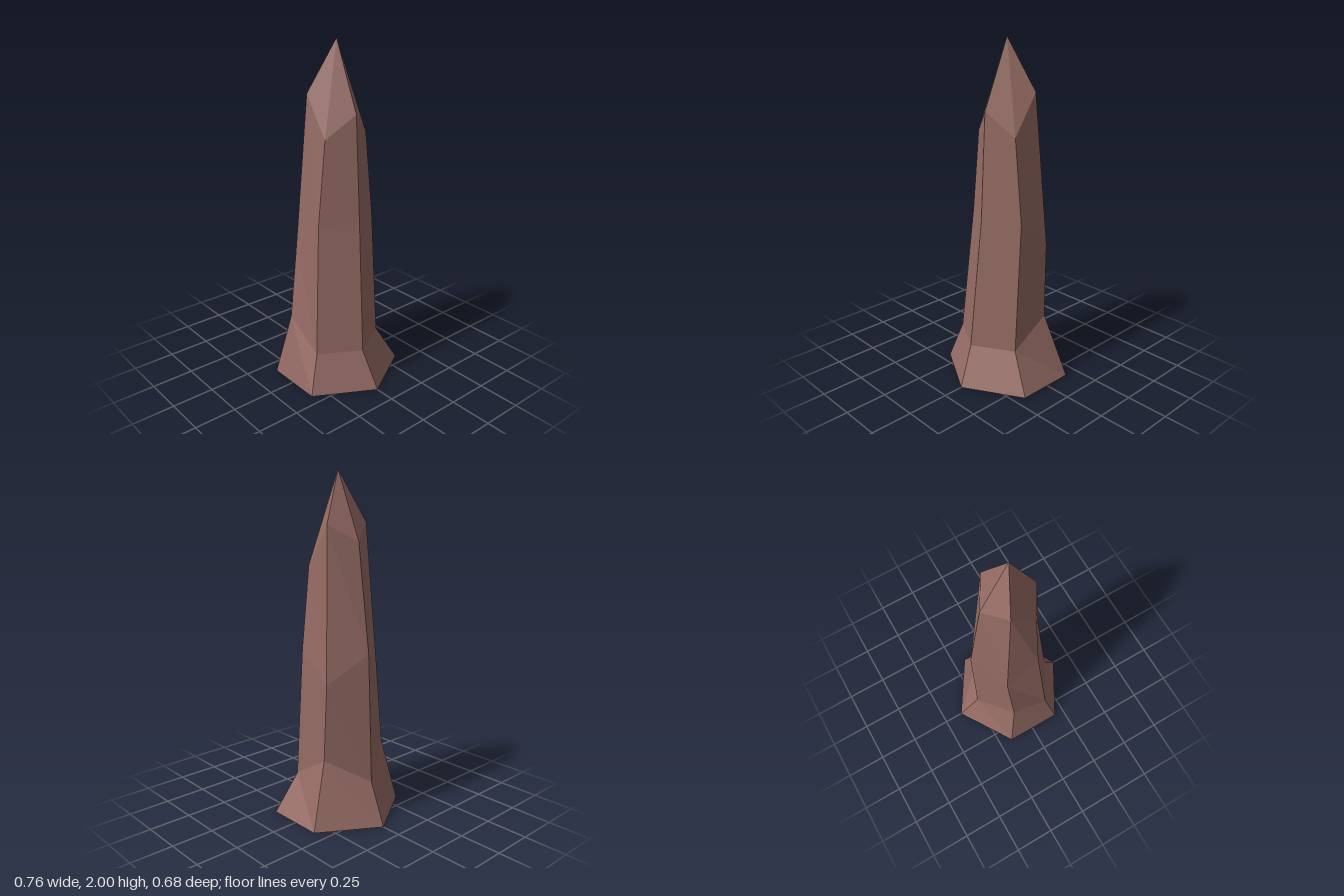
import * as THREE from 'three';

// One six-sided ring: right, front right, front left, left; the back corners mirror the front.
function ring(right, frontRight, frontLeft, left) {
  const back = ([x, y, z]) => [x, y, -z];
  return { right, frontRight, frontLeft, left, back };
}

// Corners in order from +x through +z; backShift moves the mirrored corners along z.
function corners(r, backShift = 0) {
  const mirror = (p) => {
    const q = r.back(p);
    return [q[0], q[1], q[2] + backShift];
  };
  return [r.right, r.frontRight, r.frontLeft, r.left, mirror(r.frontLeft), mirror(r.frontRight)];
}

// Faceted surface between successive rings.
function loft(rings) {
  const pos = [];
  for (let k = 0; k < rings.length - 1; k++) {
    const lower = rings[k], upper = rings[k + 1];
    for (let i = 0; i < 6; i++) {
      const j = (i + 1) % 6;
      pos.push(...lower[j], ...lower[i], ...upper[j]);
      if (upper[i] !== upper[j]) pos.push(...lower[i], ...upper[i], ...upper[j]);
    }
  }
  const geo = new THREE.BufferGeometry();
  geo.setAttribute('position', new THREE.Float32BufferAttribute(pos, 3));
  geo.computeVertexNormals();
  return geo;
}

export function createModel() {
  const group = new THREE.Group();
  group.name = 'stoneSpire';

  const stone = new THREE.MeshStandardMaterial({ color: 0x956b64, flatShading: true, side: THREE.DoubleSide });
  stone.name = 'reddish brown stone';

  const foot = corners(ring([0.38, 0, 0], [0.185, 0, 0.34], [-0.167, 0, 0.34], [-0.383, 0, 0]));
  const collar = corners(
    ring([0.275, 0.23, 0.027], [0.138, 0.23, 0.263], [-0.106, 0.38, 0.263], [-0.255, 0.23, 0.027]), 0.055);
  const waist = corners(ring([0.203, 1, 0], [0.086, 1, 0.2], [-0.121, 0.83, 0.2], [-0.249, 1, 0]));
  const shoulder = corners(ring([0.167, 1.615, 0], [0.083, 1.48, 0.148], [-0.071, 1.71, 0.148], [-0.164, 1.615, 0]));
  const tip = new Array(6).fill([0.003, 2, 0]);

  // Flared base (open underneath), shaft and pointed cap
  const parts = { flaredBase: [foot, collar], shaft: [collar, waist, shoulder], pointedCap: [shoulder, tip] };
  for (const [name, rings] of Object.entries(parts)) {
    const mesh = new THREE.Mesh(loft(rings), stone);
    mesh.name = name;
    group.add(mesh);
  }
  return group;
}
